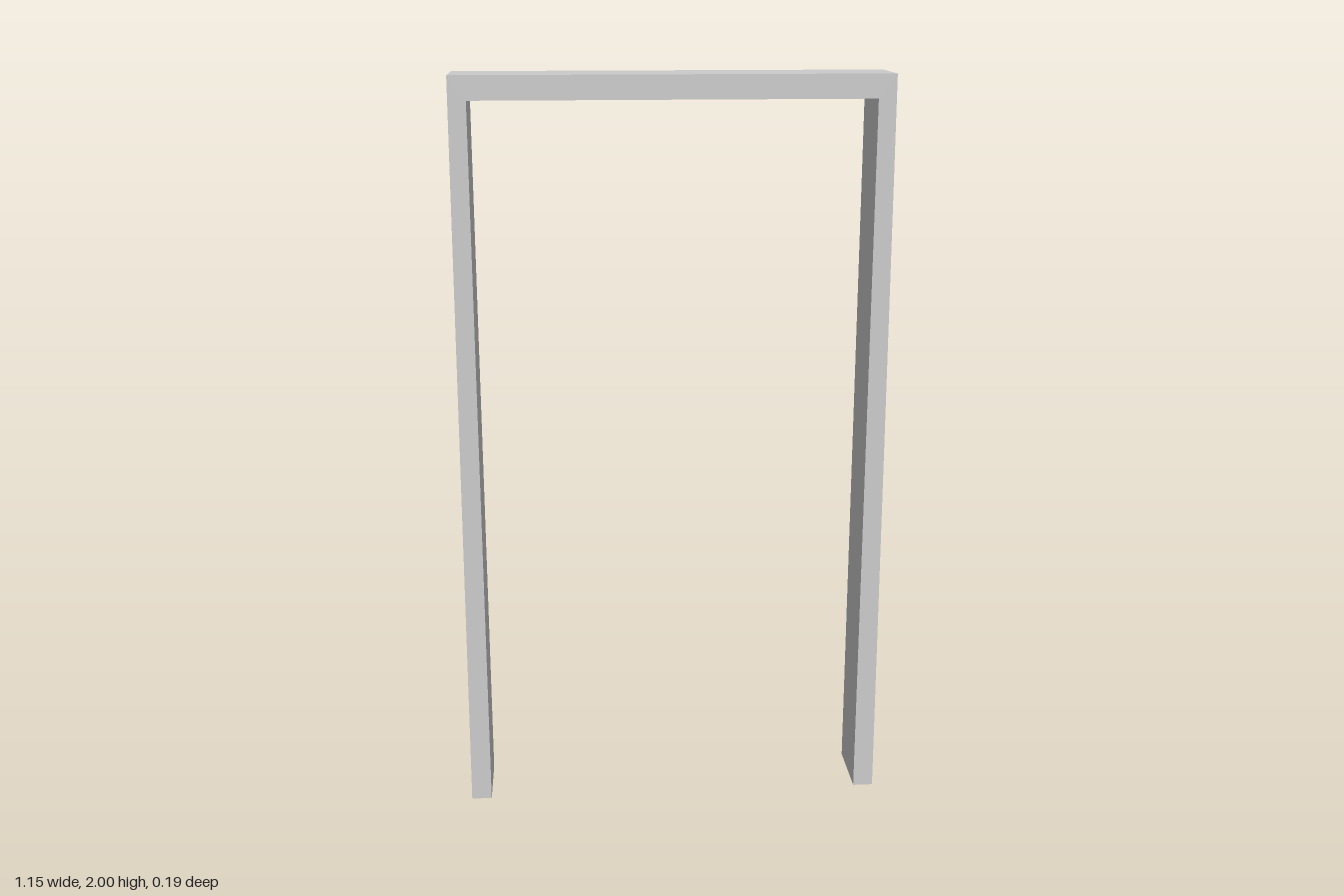
import * as THREE from 'three';

// Door frame: two jambs whose outer faces taper slightly, joined by a lintel
export function createModel() {
  const group = new THREE.Group();
  group.name = 'doorFrame';

  const height = 2, depth = 0.188;
  const innerX = 0.519, innerTop = 1.938;
  const footX = 0.574, topX = 0.565;

  // Right half of the outline, mirrored for the other side
  const half = [[innerX, innerTop], [innerX, 0], [footX, 0], [topX, height]];
  const mirrored = half.map(([x, y]) => [-x, y]).reverse();
  const outline = [...half, ...mirrored].map(([x, y]) => new THREE.Vector2(x, y));

  const geometry = new THREE.ExtrudeGeometry(new THREE.Shape(outline), {
    depth, bevelEnabled: false,
  });
  geometry.translate(0, 0, -depth / 2);

  const frame = new THREE.Mesh(
    geometry,
    new THREE.MeshStandardMaterial({ color: 0xcccccc, flatShading: true })
  );
  frame.name = 'jambsAndLintel';
  group.add(frame);
  return group;
}
